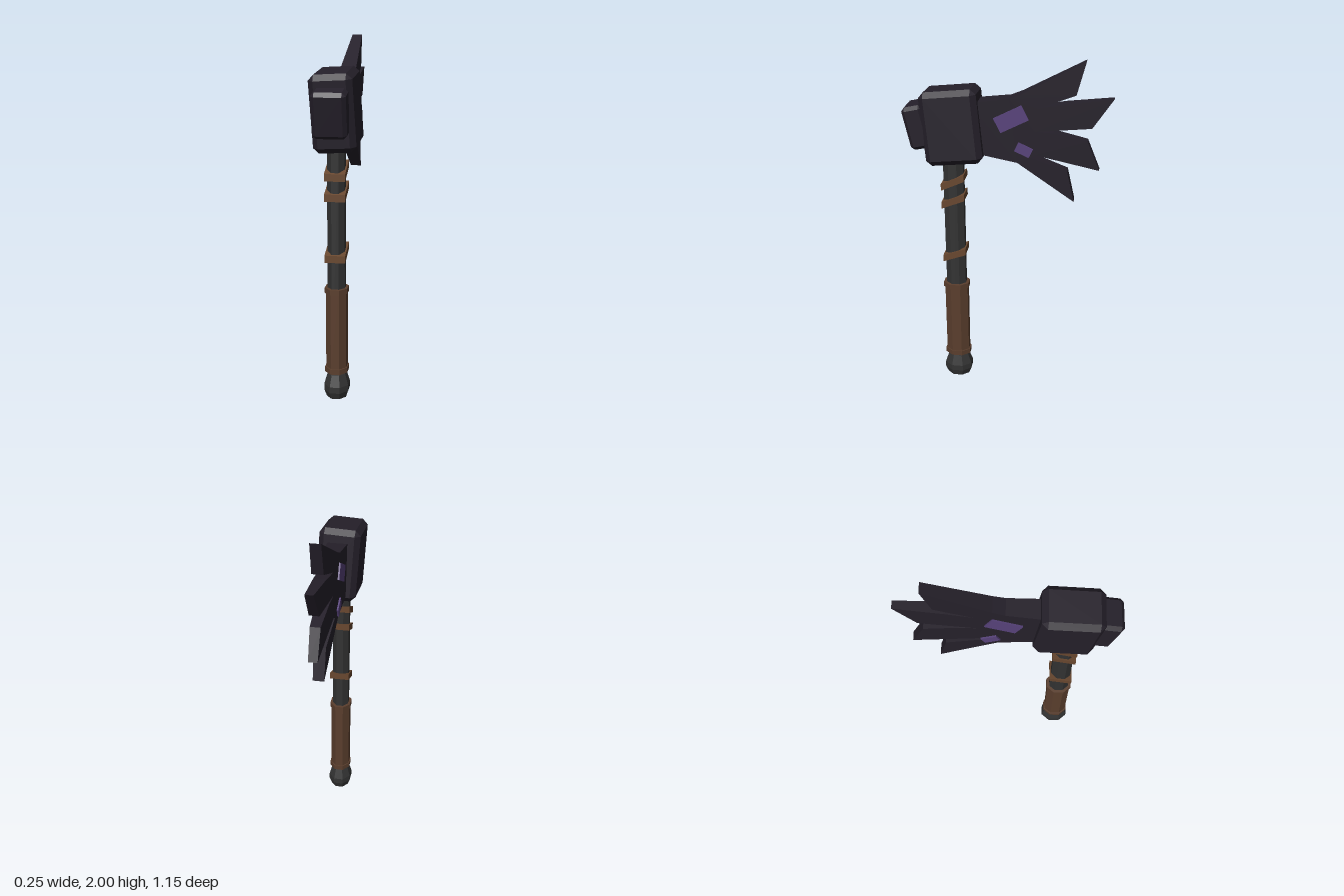
import * as THREE from 'three';
import { ConvexGeometry } from 'three/addons/geometries/ConvexGeometry.js';

const mat = (color) => new THREE.MeshStandardMaterial({ color, flatShading: true });

// Box with every edge cut by c
function chamferBox(w, h, d, c) {
  const pts = [];
  for (const i of [-1, 1]) for (const j of [-1, 1]) for (const k of [-1, 1]) {
    const x = w / 2, y = h / 2, z = d / 2;
    pts.push(
      new THREE.Vector3(i * x, j * (y - c), k * (z - c)),
      new THREE.Vector3(i * (x - c), j * y, k * (z - c)),
      new THREE.Vector3(i * (x - c), j * (y - c), k * z));
  }
  return new ConvexGeometry(pts);
}

// Slightly oval octagonal section between two heights; radii run to the flats
function octagon(y0, y1, r0, r1 = r0) {
  const k = 1 / Math.cos(Math.PI / 8);
  const g = new THREE.CylinderGeometry(r1 * k, r0 * k, y1 - y0, 8);
  g.rotateY(Math.PI / 8);
  g.scale(1, 1, 1.19);
  g.translate(0, (y0 + y1) / 2, 0.303);
  return g;
}

// Flared neck and four spikes, drawn as (z, y)
const BLADE = [
  [0.2, 1.765], [-0.02, 1.793], [-0.085, 1.82],
  [-0.424, 2.0], [-0.377, 1.82], [-0.175, 1.745],
  [-0.324, 1.772], [-0.578, 1.804], [-0.467, 1.639], [-0.16, 1.613],
  [-0.26, 1.607], [-0.446, 1.565], [-0.515, 1.4], [-0.16, 1.48],
  [-0.138, 1.464], [-0.34, 1.39], [-0.382, 1.21], [-0.064, 1.432],
  [0.122, 1.47], [0.2, 1.465],
];

function bladeGeometry() {
  const shape = new THREE.Shape(BLADE.map(([z, y]) => new THREE.Vector2(z, y)));
  const g = new THREE.ExtrudeGeometry(shape, { depth: 2, bevelEnabled: false });
  g.translate(0, 0, -1);
  g.rotateY(-Math.PI / 2);
  // Thin the sides steadily towards the tips
  const p = g.attributes.position;
  for (let i = 0; i < p.count; i++) {
    p.setX(i, p.getX(i) * (0.0485 + 0.0458 * p.getZ(i)));
  }
  g.computeVertexNormals();
  return g;
}

export function createModel() {
  const group = new THREE.Group();
  const iron = mat(0x333333), leather = mat(0x5a3e2d), strap = mat(0x68472f);
  const stone = mat(0x25202a), gem = mat(0x57427a);
  const add = (name, geometry, material) => {
    const m = new THREE.Mesh(geometry, material);
    m.name = name;
    group.add(m);
    return m;
  };

  // Handle
  add('pommelBase', octagon(0, 0.04, 0.055, 0.068), iron);
  add('pommelMiddle', octagon(0.04, 0.075, 0.068), iron);
  add('pommelTop', octagon(0.075, 0.14, 0.068, 0.05), iron);
  add('shaft', octagon(0.1, 1.45, 0.048), iron);
  add('grip', octagon(0.16, 0.64, 0.057), leather);
  add('gripLowerRing', octagon(0.15, 0.18, 0.063), leather);
  add('gripUpperRing', octagon(0.615, 0.645, 0.063), leather);

  // Slanted straps, higher at the back
  for (const [y, slope] of [[1.297, 0.45], [1.183, 0.4], [0.842, 0.36]]) {
    const g = new THREE.BoxGeometry(0.114, 0.04, 0.133);
    const p = g.attributes.position;
    for (let i = 0; i < p.count; i++) p.setY(i, p.getY(i) - slope * p.getZ(i));
    g.computeVertexNormals();
    add('shaftStrap', g, strap).position.set(0, y, 0.303);
  }

  // Hammer head
  const block = add('hammerBlock', chamferBox(0.23, 0.412, 0.318, 0.03), stone);
  block.position.set(0, 1.623, 0.297);
  block.rotation.set(0.1, 0, 0.05);
  const face = add('strikingFace', chamferBox(0.182, 0.245, 0.12, 0.02), stone);
  face.position.set(0, 1.619, 0.49);
  face.rotation.x = 0.22;
  add('spikedBlade', bladeGeometry(), stone);

  // Thin inlaid plates on both sides
  for (const side of [-1, 1]) {
    for (const [z, y, l, h, a] of [[-0.03, 1.684, 0.172, 0.09, 0.47], [-0.1, 1.512, 0.088, 0.055, -0.43]]) {
      const plate = add(side > 0 ? 'leftGemPlate' : 'rightGemPlate', new THREE.BoxGeometry(0.009, h, l), gem);
      plate.position.set(side * 0.058, y, z);
      plate.rotation.x = a;
    }
  }
  return group;
}
